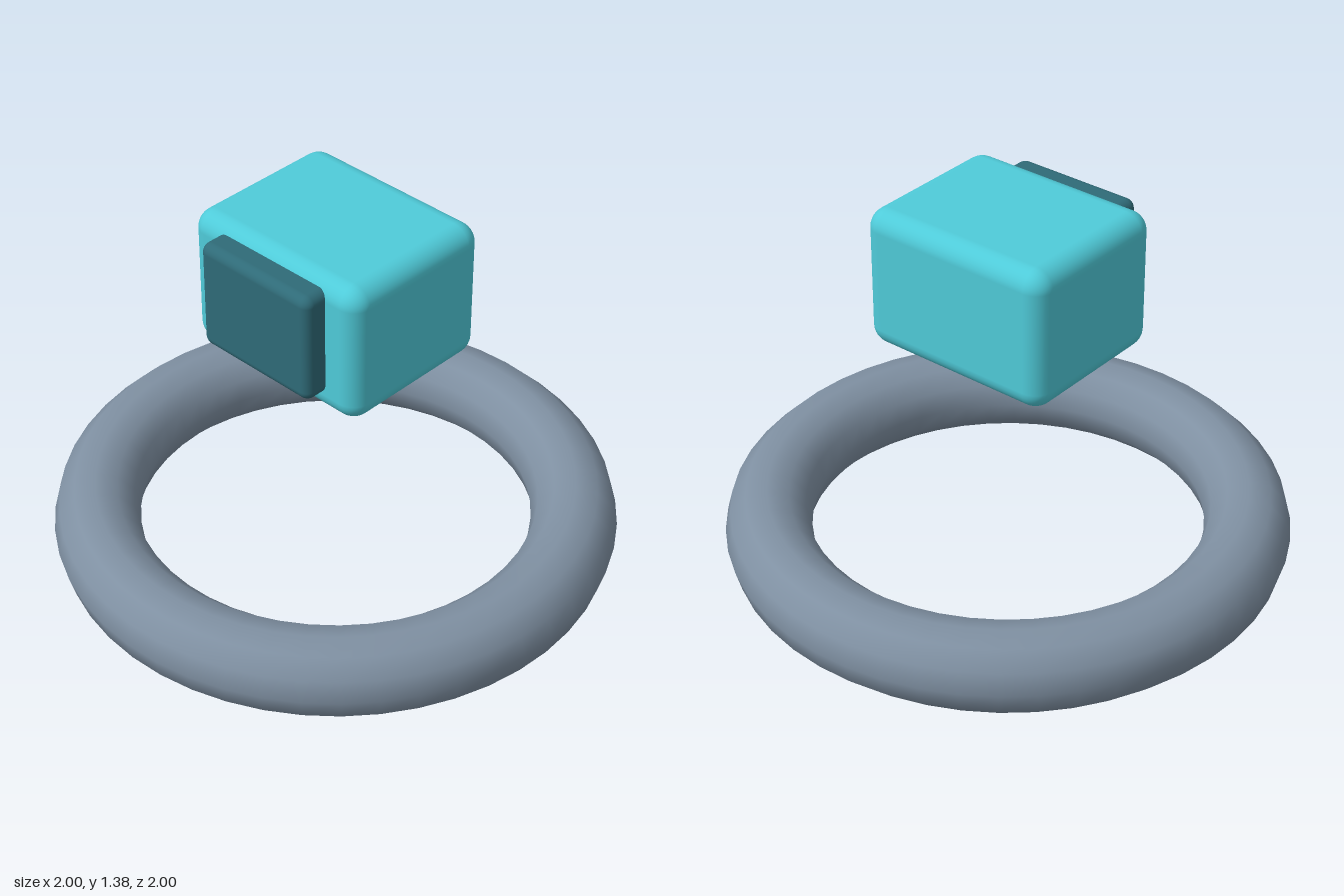
import * as THREE from 'three';
import { RoundedBoxGeometry } from 'three/addons/geometries/RoundedBoxGeometry.js';

function part(name, geometry, color, x, y, z) {
  const mesh = new THREE.Mesh(geometry, new THREE.MeshStandardMaterial({ color }));
  mesh.name = name;
  mesh.position.set(x, y, z);
  return mesh;
}

export function createModel() {
  const model = new THREE.Group();
  model.name = 'hoveringHeadAndRing';

  // Ring lying flat on the ground
  const ringGeometry = new THREE.TorusGeometry(0.8475, 0.1525, 12, 48).rotateX(Math.PI / 2);
  model.add(part('baseRing', ringGeometry, 0x7f90a2, 0, 0.1525, 0));

  // Rounded block floating above the ring
  model.add(part('head', new RoundedBoxGeometry(0.75, 0.51, 0.605, 4, 0.07), 0x4fcbd9, 0, 1.12, 0));

  // Dark plate standing out of the front
  model.add(part('facePlate', new RoundedBoxGeometry(0.49, 0.4, 0.14, 4, 0.035), 0x2f6b78, 0, 1.142, 0.314));

  return model;
}
